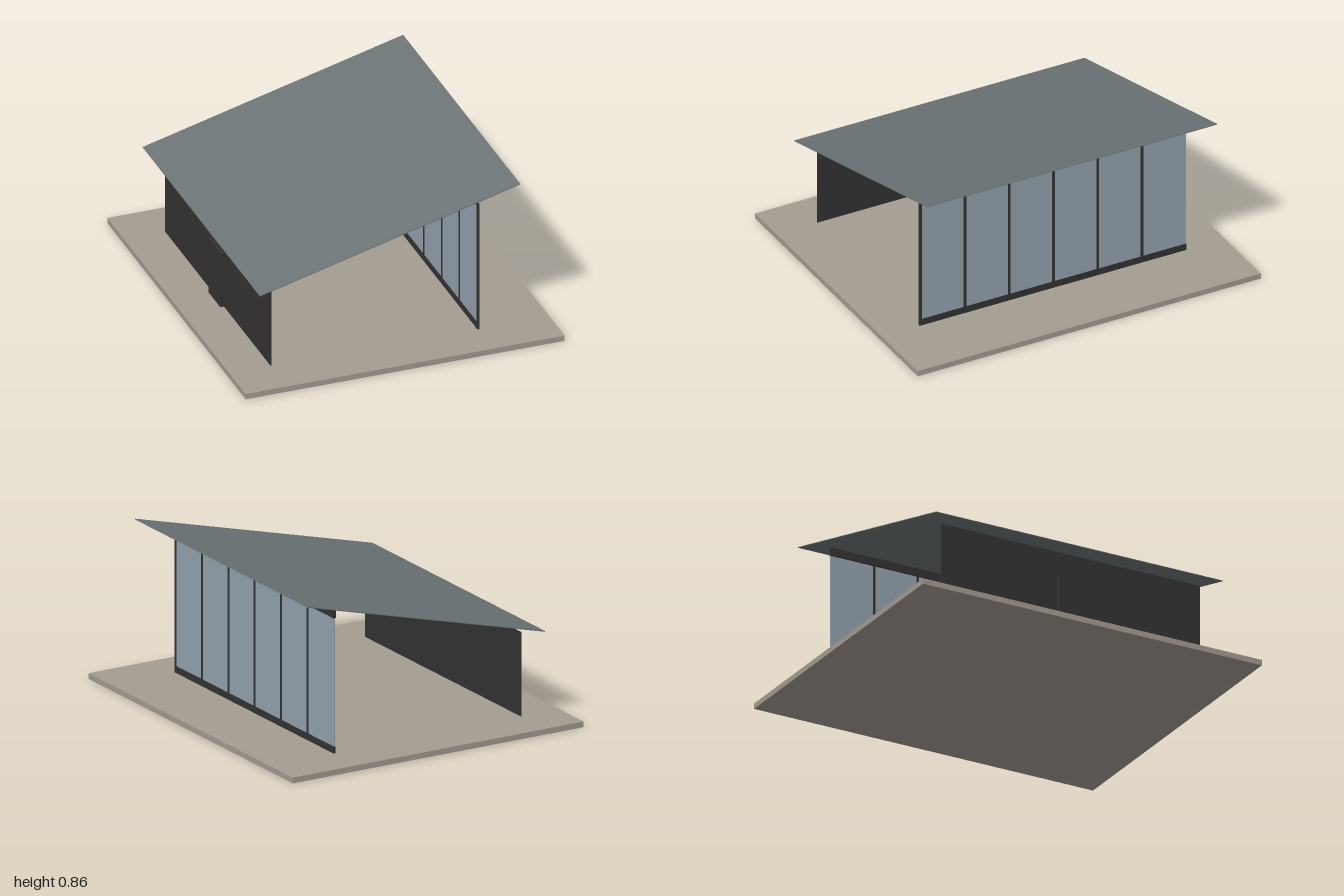
import * as THREE from 'three';

const material = (name, color) => {
  const m = new THREE.MeshStandardMaterial({ color });
  m.name = name;
  return m;
};

export function createModel() {
  const stone = material('warm grey stone', 0xa39c91);
  const roofing = material('slate grey roofing', 0x6c7476);
  const dark = material('charcoal', 0x343232);
  const glassBlue = material('pale blue glass', 0x94a2ae);

  const model = new THREE.Group();
  model.name = 'pavilion';

  // Box given by its extents along each axis
  const box = (name, mat, [x0, x1], [y0, y1], [z0, z1], parent = model) => {
    const mesh = new THREE.Mesh(new THREE.BoxGeometry(x1 - x0, y1 - y0, z1 - z0), mat);
    mesh.position.set((x0 + x1) / 2, (y0 + y1) / 2, (z0 + z1) / 2);
    mesh.name = name;
    parent.add(mesh);
    return mesh;
  };

  // Floor slab
  const floor = 0.03;
  box('floorSlab', stone, [-0.857, 0.857], [0, floor], [-0.98, 0.98]);

  // Thin single-pitch roof, rising towards the glazed side
  const run = 1.4, rise = 0.37;
  const roof = new THREE.Mesh(
    new THREE.BoxGeometry(Math.hypot(run, rise), 0.004, 1.658), roofing);
  roof.position.set(-0.024, 0.672, 0);
  roof.rotation.z = Math.atan2(rise, run);
  roof.name = 'roof';
  model.add(roof);

  // Low solid wall with a door on its outer face
  box('solidWall', dark, [-0.636, -0.631], [floor, 0.475], [-0.747, 0.747]);
  box('door', dark, [-0.656, -0.636], [floor, 0.34], [-0.08, 0.09]);

  // Glazed wall: panes, sill, header beam and evenly spaced mullions
  const glazing = new THREE.Group();
  glazing.name = 'glazedWall';
  model.add(glazing);
  const half = 0.758, bays = 6, frame = [0.47, 0.481];
  box('glass', glassBlue, [0.473, 0.478], [0.065, 0.745], [-half, half], glazing);
  box('sill', dark, frame, [floor, 0.066], [-half, half], glazing);
  box('headerBeam', dark, [0.465, 0.481], [0.745, 0.788], [-half, half], glazing);
  for (let i = 0; i < bays; i++) {
    const z = half - (i * 2 * half) / bays;
    box('mullion', dark, frame, [floor, 0.746], [z - 0.007, z + 0.007], glazing);
  }

  // The whole building sits slightly turned on its plot
  model.rotation.y = 0.0233;
  const group = new THREE.Group();
  group.add(model);
  return group;
}
